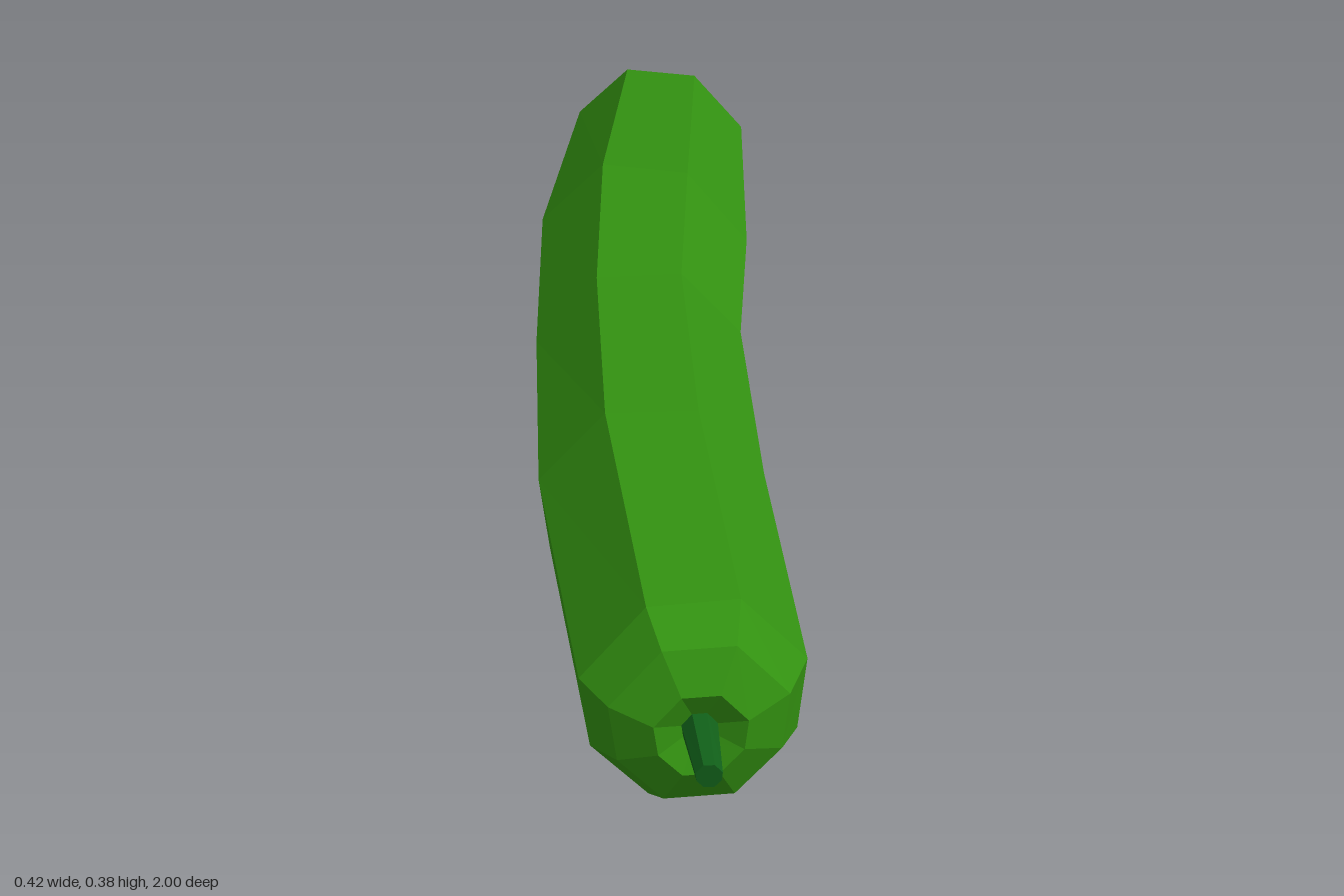
import * as THREE from 'three';

// Slightly irregular eight-sided section: x in -1..1, y in 0..1 (clockwise from the front)
const SECTION = [
  [-0.41, 1], [0.42, 1], [1, 0.65], [0.91, 0.285],
  [0.39, 0], [-0.39, 0], [-0.9, 0.285], [-1, 0.65],
];

// Loft flat-faced sections from front to back.
// Each ring: [centre x, half width, bottom y, top y, centre z, z slope across x]
function loft(rings) {
  const pts = rings.map(([cx, r, y0, y1, z, slope]) =>
    SECTION.map(([u, v]) => [cx + u * r, y0 + v * (y1 - y0), z + slope * u * r]));
  const pos = [];
  const tri = (a, b, c) => pos.push(...a, ...b, ...c);
  const n = SECTION.length;
  for (let i = 0; i < pts.length - 1; i++) {
    for (let j = 0; j < n; j++) {
      const k = (j + 1) % n;
      tri(pts[i][j], pts[i][k], pts[i + 1][j]);
      tri(pts[i][k], pts[i + 1][k], pts[i + 1][j]);
    }
  }
  // Flat end caps
  const first = pts[0], last = pts[pts.length - 1];
  for (let j = 1; j < n - 1; j++) {
    tri(first[0], first[j + 1], first[j]);
    tri(last[0], last[j], last[j + 1]);
  }
  const geo = new THREE.BufferGeometry();
  geo.setAttribute('position', new THREE.Float32BufferAttribute(pos, 3));
  geo.computeVertexNormals();
  return geo;
}

export function createModel() {
  const skin = new THREE.MeshStandardMaterial({ color: 0x339211, flatShading: true });
  skin.name = 'skin green';
  const stalk = new THREE.MeshStandardMaterial({ color: 0x116019, flatShading: true });
  stalk.name = 'stem green';

  // Curved body, with a shallow hollow around the stem
  const body = new THREE.Mesh(loft([
    [0.022, 0.025, 0.155, 0.205, 0.86, -0.08],
    [0.024, 0.08, 0.105, 0.258, 0.885, -0.08],
    [0.0225, 0.1525, 0.038, 0.33, 0.848, -0.083],
    [0.0165, 0.1915, 0, 0.37, 0.77, -0.105],
    [-0.0225, 0.1875, 0.01, 0.378, 0.2, 0],
    [-0.02, 0.17, 0.01, 0.356, -0.245, -0.03],
    [0.0075, 0.1675, 0.01, 0.355, -0.57, 0.24],
    [0.0525, 0.1325, 0.05, 0.315, -0.92, 0.226],
    [0.065, 0.075, 0.112, 0.262, -0.985, 0.2],
  ]), skin);
  body.name = 'body';

  // Short tapering stem
  const stem = new THREE.Mesh(loft([
    [0.031, 0.023, 0.155, 0.198, 1, 0],
    [0.022, 0.031, 0.15, 0.212, 0.855, 0],
  ]), stalk);
  stem.name = 'stem';

  const group = new THREE.Group();
  group.name = 'courgette';
  group.add(body, stem);
  return group;
}
